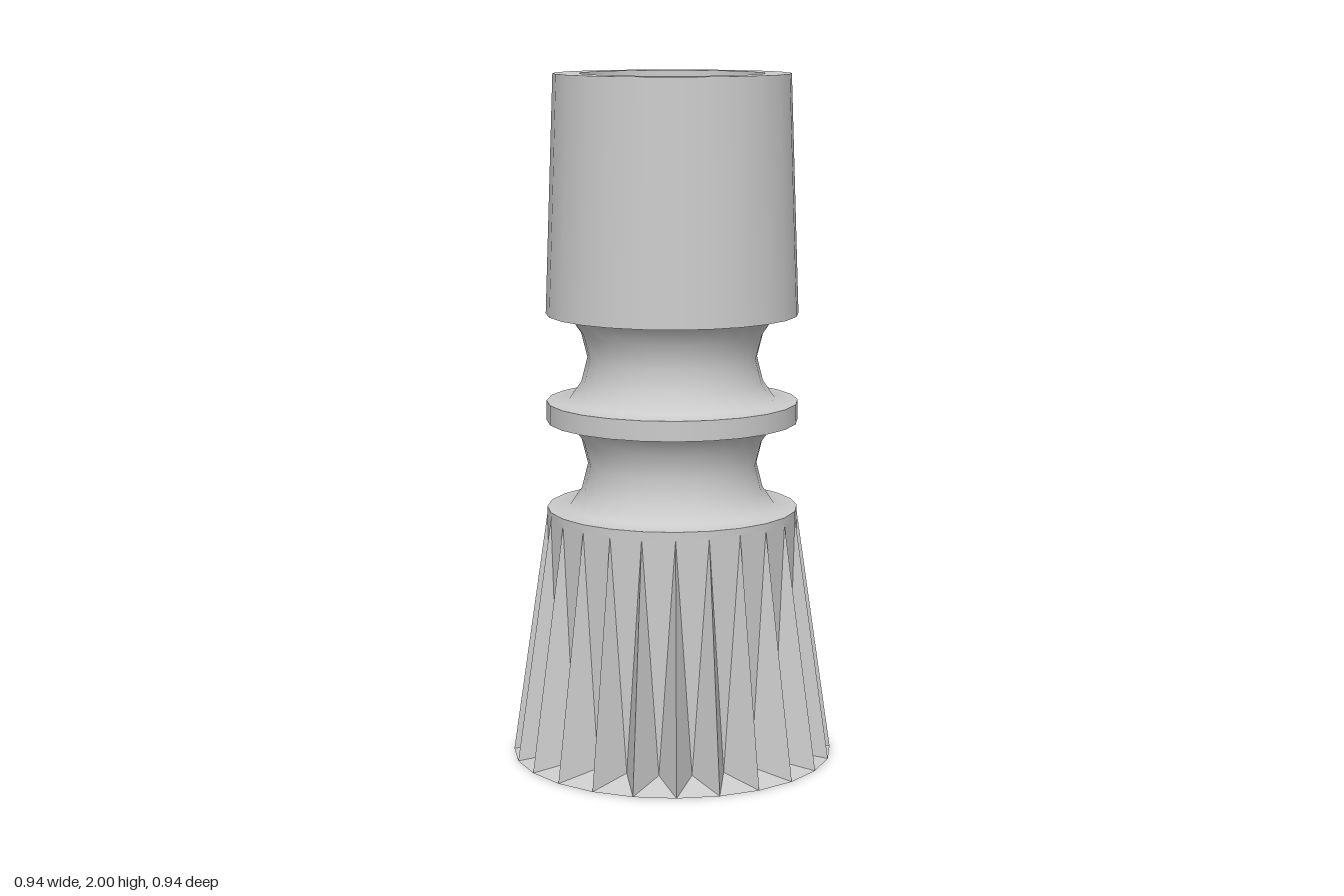
import * as THREE from 'three';

const SIDES = 24;
const R = 0.367; // shared outer radius of collar, disc and barrel foot

export function createModel() {
  const group = new THREE.Group();
  const smooth = new THREE.MeshStandardMaterial({ color: 0xcccccc, side: THREE.DoubleSide });
  const flat = new THREE.MeshStandardMaterial({ color: 0xcccccc, side: THREE.DoubleSide, flatShading: true });

  const add = (name, geometry, material) => {
    const mesh = new THREE.Mesh(geometry, material);
    mesh.name = name;
    group.add(mesh);
  };
  // Turned surface from [radius, height] pairs; separate calls leave a crease
  const turn = (name, points) =>
    add(name, new THREE.LatheGeometry(points.map(p => new THREE.Vector2(...p)), SIDES), smooth);

  // Pleated skirt: a thin open shell with one ridge per side
  const at = (i, r, y) => {
    const a = (i / SIDES) * Math.PI * 2;
    return [r * Math.sin(a), y, r * Math.cos(a)];
  };
  const pos = [];
  for (let i = 0; i < SIDES; i++) {
    const top0 = at(i, R, 0.72), top1 = at(i + 1, R, 0.72);
    const tip0 = at(i, 0.472, 0), tip1 = at(i + 1, 0.472, 0);
    const valley = at(i + 0.5, 0.362, 0.03);
    pos.push(
      ...top0, ...valley, ...top1, // web between ridges
      ...top0, ...tip0, ...valley, // ridge flank
      ...top1, ...valley, ...tip1, // flank of the next ridge
      ...valley, ...tip0, ...tip1, // sloping foot
    );
  }
  const skirt = new THREE.BufferGeometry();
  skirt.setAttribute('position', new THREE.Float32BufferAttribute(pos, 3));
  skirt.computeVertexNormals();
  add('skirt', skirt, flat);

  // Collar above the skirt and the ceiling inside it
  turn('collar', [[R, 0.72], [R, 0.74]]);
  turn('skirtCeiling', [[0, 0.725], [R, 0.725]]);

  // Two waisted necks, blended into the flat faces they meet
  const neck = (y, h) => [
    [R, y], [0.3, y + 0.005], [0.265, y + h * 0.22], [0.247, y + h * 0.5],
    [0.265, y + h * 0.78], [0.3, y + h - 0.005], [R, y + h],
  ];
  turn('lowerNeck', neck(0.74, 0.257));
  turn('upperNeck', neck(1.055, 0.255));

  // Disc between the necks
  turn('disc', [[R, 0.997], [R, 1.055]]);

  // Tapered barrel with a blind bore
  turn('barrel', [[R, 1.31], [0.342, 2]]);
  turn('barrelRim', [[0.342, 2], [0.267, 2]]);
  turn('bore', [[0.267, 2], [0.263, 1.31]]);
  turn('boreFloor', [[0.263, 1.31], [0, 1.31]]);

  return group;
}
